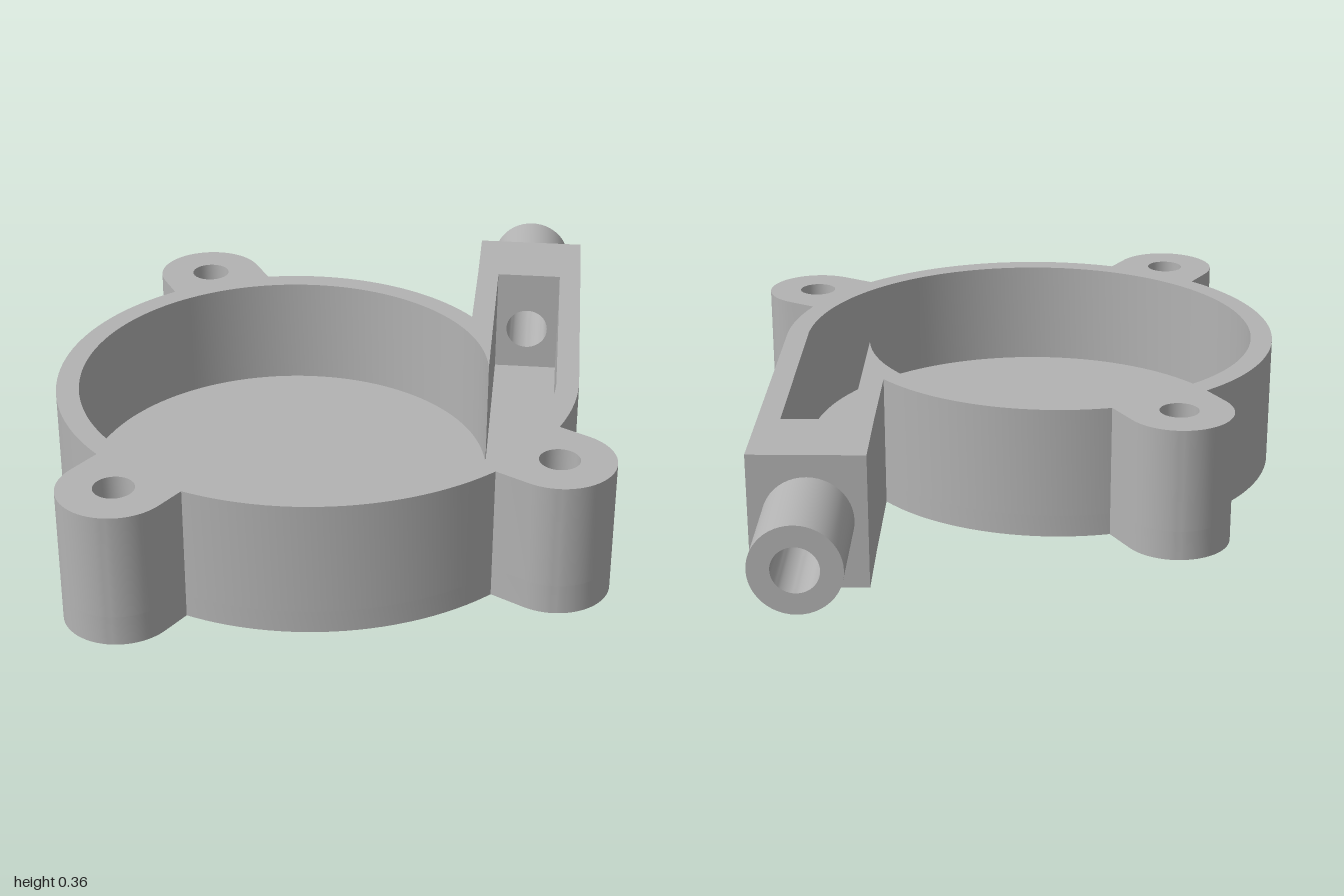
import * as THREE from 'three';
import { toCreasedNormals } from 'three/addons/utils/BufferGeometryUtils.js';

const HEIGHT = 0.36, FLOOR = 0.06, WALL = 0.06;
const CX = -0.0975, CZ = 0.2;          // centre of the volute spiral
const DUCT_Z = -0.475, BLOCK_Z = -0.715;
const BORE_X = 0.49, BORE_Y = 0.185, BORE_R = 0.06;

// Points of the spiral in plan (shape y = -z), angles in degrees
function spiral(from, to, offset, steps = 120) {
  const pts = [];
  for (let i = 0; i <= steps; i++) {
    const deg = from + (to - from) * i / steps, a = deg * Math.PI / 180;
    const r = 0.4975 + 0.18 * deg / 360 + offset;
    pts.push(new THREE.Vector2(CX + r * Math.cos(a), -CZ + r * Math.sin(a)));
  }
  return pts;
}

function circlePath(x, y, r, sides = 48) {
  const pts = [];
  for (let i = 0; i < sides; i++) {
    const a = i / sides * Math.PI * 2;
    pts.push(new THREE.Vector2(x + r * Math.cos(a), y + r * Math.sin(a)));
  }
  return new THREE.Path(pts);
}

function extrude(shape, depth) {
  return new THREE.ExtrudeGeometry(shape, { depth, bevelEnabled: false, curveSegments: 32 });
}

export function createModel() {
  const group = new THREE.Group();
  group.name = 'pumpCasing';
  const grey = new THREE.MeshStandardMaterial({ color: 0xb3b3b3 });
  grey.name = 'grey';

  function add(name, geometry, parent = group) {
    const mesh = new THREE.Mesh(toCreasedNormals(geometry, 0.4), grey);
    mesh.name = name;
    parent.add(mesh);
    return mesh;
  }
  // Plan outline raised from y0 to y1
  function slab(name, shape, y0, y1, parent) {
    const g = extrude(shape, y1 - y0);
    g.rotateX(-Math.PI / 2);
    g.translate(0, y0, 0);
    return add(name, g, parent);
  }

  // Floor and spiral wall, open at the outlet duct
  const outer = [new THREE.Vector2(0.34, -DUCT_Z), ...spiral(41.2, 360, WALL),
    new THREE.Vector2(0.64, -DUCT_Z)];
  const inner = [new THREE.Vector2(0.58, -DUCT_Z), ...spiral(360, 9, 0),
    new THREE.Vector2(0.4, -DUCT_Z)];
  slab('floor', new THREE.Shape(outer), 0, FLOOR);
  slab('voluteWall', new THREE.Shape([...outer, ...inner]), FLOOR, HEIGHT);

  // Solid end of the duct with the outlet bore through it
  const block = new THREE.Shape([
    new THREE.Vector2(0.34, 0), new THREE.Vector2(0.64, 0),
    new THREE.Vector2(0.64, HEIGHT), new THREE.Vector2(0.34, HEIGHT)]);
  block.holes.push(circlePath(BORE_X, BORE_Y, BORE_R));
  add('ductEnd', extrude(block, DUCT_Z - BLOCK_Z).translate(0, 0, BLOCK_Z));

  // Outlet pipe
  const ring = new THREE.Shape(circlePath(BORE_X, BORE_Y, 0.116).getPoints());
  ring.holes.push(circlePath(BORE_X, BORE_Y, BORE_R));
  add('outletPipe', extrude(ring, 1 + BLOCK_Z).translate(0, 0, -1));

  // Screw lugs: rounded ears pointing away from the centre, nut pocket below
  const R = 0.143, NECK = 0.123, POCKET = 0.08;
  for (const [x, z] of [[-0.445, -0.4], [0.595, 0.6], [-0.475, 0.85]]) {
    const lug = new THREE.Group();
    lug.name = 'screwLug';
    lug.position.set(x, 0, z);
    const angle = Math.atan2(CZ - z, x - CX);
    const ear = (hole) => {
      const pts = [];
      for (let i = 0; i <= 32; i++) {
        const a = -Math.PI / 2 + Math.PI * i / 32;
        pts.push(new THREE.Vector2(R * Math.cos(a), R * Math.sin(a)));
      }
      pts.push(new THREE.Vector2(-NECK, R), new THREE.Vector2(-NECK, -R));
      pts.forEach((p) => p.rotateAround(new THREE.Vector2(), angle));
      const shape = new THREE.Shape(pts);
      shape.holes.push(hole);
      return shape;
    };
    slab('lugNutPocket', ear(circlePath(0, 0, 0.1, 6)), 0, POCKET, lug);
    slab('lugScrewHole', ear(circlePath(0, 0, 0.052, 32)), POCKET, HEIGHT, lug);
    group.add(lug);
  }
  return group;
}
